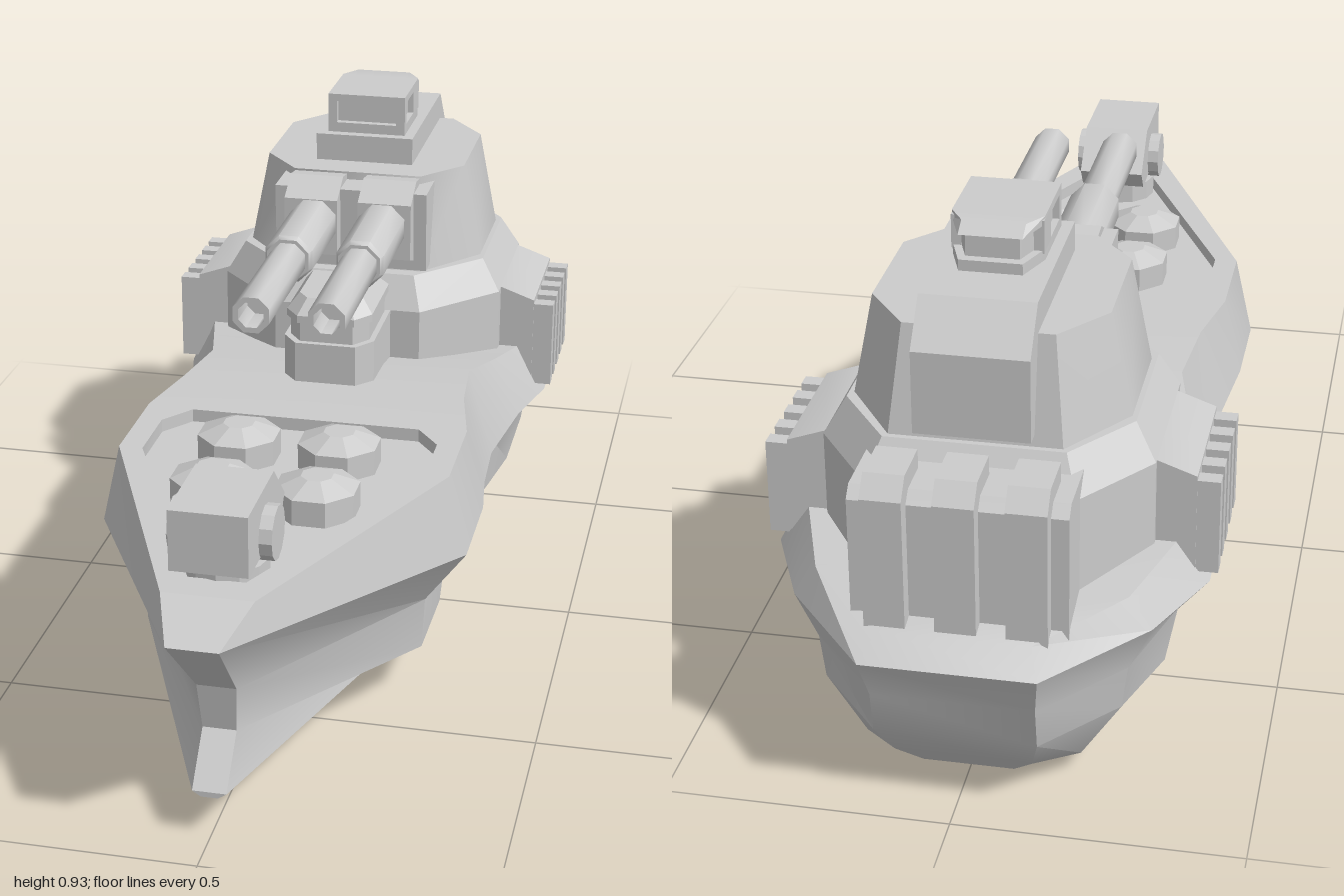
import * as THREE from 'three';
import { toCreasedNormals } from 'three/addons/utils/BufferGeometryUtils.js';

export function createModel() {
  const model = new THREE.Group();
  const mat = new THREE.MeshStandardMaterial({ color: 0xcccccc });

  function add(name, geo, x = 0, y = 0, z = 0, crease = 0.5) {
    const m = new THREE.Mesh(toCreasedNormals(geo, crease), mat);
    m.name = name;
    m.position.set(x, y, z);
    model.add(m);
    return m;
  }
  const box = (name, w, h, d, x, y, z) => add(name, new THREE.BoxGeometry(w, h, d), x, y, z);

  // Right half is the mirror of the left half
  const mirror = half => [...half, ...half.map(([x, y, z]) => [-x, y, z]).reverse()];

  // Skin between rings; the seam closes from ring closeFrom onward
  function loft(rings, { closeFrom = 0, start = true, end = true } = {}) {
    const pos = [], n = rings[0].length;
    const quad = (a, b, c, d) => pos.push(...a, ...b, ...c, ...a, ...c, ...d);
    for (let i = 0; i < rings.length - 1; i++) {
      for (let j = 0; j < n; j++) {
        if (j === n - 1 && i < closeFrom) continue;
        const k = (j + 1) % n;
        quad(rings[i][j], rings[i][k], rings[i + 1][k], rings[i + 1][j]);
      }
    }
    const last = rings[rings.length - 1], first = rings[0];
    for (let j = 0; j < n / 2 - 1; j++) {
      if (end) quad(last[j], last[j + 1], last[n - 2 - j], last[n - 1 - j]);
      if (start) quad(first[n - 1 - j], first[n - 2 - j], first[j + 1], first[j]);
    }
    const g = new THREE.BufferGeometry();
    g.setAttribute('position', new THREE.Float32BufferAttribute(pos, 3));
    g.computeVertexNormals();
    return g;
  }
  // Plan outline (half, front to back, as [x, z]) at height y, scaled about z = zc
  const plan = (half, y, s = 1, zc = 0) => mirror(half.map(([x, z]) => [x * s, y, zc + (z - zc) * s]));

  // Side profile [z, y] extruded across x
  function block(name, profile, width, x = 0) {
    const g = new THREE.ExtrudeGeometry(new THREE.Shape(profile.map(p => new THREE.Vector2(...p))),
      { depth: width, bevelEnabled: false });
    g.translate(0, 0, -width / 2).rotateY(-Math.PI / 2);
    return add(name, g, x);
  }

  // Hull sections: deck, knuckle, chine, bilge, lower bilge, keel edge
  const at = (z, pts) => pts.map(([x, y]) => [x, y, z]);
  const sections = [
    [[0.08, 0.455, 0.9], [0.045, 0.41, 1], [0.035, 0.26, 0.855], [0.03, 0.17, 0.84], [0.03, 0.09, 0.915], [0.015, 0.08, 0.915]],
    at(0.37, [[0.31, 0.455], [0.345, 0.3], [0.27, 0.2], [0.265, 0.1], [0.17, 0.05], [0.08, 0.035]]),
    at(0.17, [[0.31, 0.455], [0.345, 0.3], [0.27, 0.2], [0.265, 0.09], [0.17, 0.035], [0.08, 0.02]]),
    at(0.02, [[0.28, 0.455], [0.325, 0.28], [0.26, 0.2], [0.25, 0.1], [0.16, 0.045], [0.08, 0.04]]),
    at(-0.14, [[0.265, 0.445], [0.315, 0.27], [0.27, 0.21], [0.25, 0.1], [0.17, 0.05], [0.09, 0.04]]),
    at(-0.28, [[0.3, 0.42], [0.35, 0.3], [0.3, 0.23], [0.29, 0.13], [0.2, 0.03], [0.11, 0]]),
    at(-0.42, [[0.335, 0.4], [0.385, 0.3], [0.325, 0.23], [0.31, 0.13], [0.22, 0.03], [0.11, 0]]),
    at(-0.64, [[0.33, 0.38], [0.385, 0.3], [0.325, 0.23], [0.31, 0.13], [0.22, 0.03], [0.11, 0.005]]),
    at(-0.81, [[0.27, 0.36], [0.31, 0.3], [0.27, 0.22], [0.26, 0.14], [0.19, 0.035], [0.1, 0.01]]),
    [[0.13, 0.33, -0.94], [0.15, 0.3, -1], [0.14, 0.22, -0.965], [0.14, 0.14, -0.95], [0.12, 0.06, -0.89], [0.08, 0.015, -0.85]],
  ];
  add('hull', loft(sections.map(mirror), { closeFrom: 2 }));

  // Foredeck with sunken tray
  const trayPlan = [[0.05, 0.84], [0.265, 0.37], [0.265, 0.24], [0.22, 0.18]];
  const toShape = (C, half) => new C(mirror(half.map(([x, z]) => [x, -z, 0])).map(p => new THREE.Vector2(p[0], p[1])));
  const deck = toShape(THREE.Shape, sections.slice(0, 3).map(s => [s[0][0], s[0][2]]));
  deck.holes.push(toShape(THREE.Path, trayPlan));
  add('foredeck', new THREE.ShapeGeometry(deck).rotateX(-Math.PI / 2), 0, 0.455, 0);
  add('deckTray', loft([plan(trayPlan, 0.455), plan(trayPlan, 0.43)], { start: false }));

  // Octagonal hatches
  for (const x of [-0.095, 0.095]) for (const z of [0.31, 0.5]) {
    const hatch = [[0.078, 0], [0.078, 0.05], [0.03, 0.07], [0, 0.07]].map(p => new THREE.Vector2(...p));
    add('hatch', new THREE.LatheGeometry(hatch, 8, Math.PI / 8), x, 0.428, z, 0.2);
  }

  // Bow turret
  add('bowTurretBase', new THREE.CylinderGeometry(0.075, 0.075, 0.05, 12), 0, 0.445, 0.77);
  block('bowTurret', [[0.89, 0.49], [0.89, 0.6], [0.71, 0.6], [0.635, 0.525], [0.665, 0.485]], 0.135);
  add('bowTurretPivot', new THREE.CylinderGeometry(0.048, 0.048, 0.18, 12).rotateZ(Math.PI / 2), 0, 0.52, 0.775);

  // Forward bridge
  const bridge = [[0.06, 0], [0.09, -0.04], [0.09, -0.22]];
  add('bridgeBase', loft([plan(bridge, 0.42), plan(bridge, 0.535)]));
  add('bridgeWindows', loft([plan(bridge, 0.53, 0.88, -0.1), plan(bridge, 0.58, 0.88, -0.1)]));
  add('bridgeRoof', loft([plan(bridge, 0.575, 0.95, -0.1), plan(bridge, 0.59, 0.95, -0.1), plan(bridge, 0.62, 0.7, -0.1)]));

  // Deckhouse
  const house = [[0.15, -0.21], [0.29, -0.36], [0.29, -0.66], [0.18, -0.81]];
  add('deckhouse', loft([plan(house, 0.31), plan(house, 0.535), plan(house, 0.6, 0.87, -0.49)], {}), 0, 0, 0, 0.3);

  // Main turret
  const low = [[0.14, -0.27], [0.245, -0.4], [0.245, -0.62], [0.15, -0.76]];
  const high = [[0.13, -0.31], [0.205, -0.4], [0.205, -0.62], [0.13, -0.72]];
  add('mainTurret', loft([plan(low, 0.59), plan(high, 0.79)]), 0, 0, 0, 0.9);
  block('turretBustle', [[-0.6, 0.62], [-0.6, 0.845], [-0.72, 0.845], [-0.785, 0.77], [-0.785, 0.62]], 0.2);
  box('cupolaBase', 0.2, 0.06, 0.28, 0, 0.815, -0.52);

  // Cupola: body, inset window band, roof
  const cupola = [[0.08, -0.4], [0.08, -0.55], [0.055, -0.62]];
  add('cupolaSill', loft([plan(cupola, 0.84), plan(cupola, 0.865)]));
  add('cupolaWindows', loft([plan(cupola, 0.86, 0.85, -0.5), plan(cupola, 0.915, 0.85, -0.5)]));
  add('cupolaRoof', loft([plan(cupola, 0.91), plan(cupola.map(([x, z]) => [x, Math.max(z, -0.59)]), 0.925)]));
  for (const s of [-1, 1]) {
    box('cupolaPillar', 0.018, 0.06, 0.02, s * 0.071, 0.89, -0.41);
    box('cupolaRearPillar', 0.018, 0.06, 0.06, s * 0.071, 0.89, -0.53);
  }

  // Twin guns
  block('mantlet', [[-0.25, 0.61], [-0.24, 0.775], [-0.36, 0.775], [-0.36, 0.61]], 0.31);
  const barrel = [[0.05, -0.25], [0.05, 0.005], [0.044, 0.015], [0.037, 0.015], [0.037, 0.31],
    [0.026, 0.31], [0.026, 0.24], [0, 0.24]].map(p => new THREE.Vector2(...p));
  for (const s of [-1, 1]) {
    block('gunMount', [[-0.21, 0.645], [-0.21, 0.76], [-0.27, 0.792], [-0.35, 0.78], [-0.35, 0.63], [-0.28, 0.62]], 0.108, s * 0.075);
    add('gunBarrel', new THREE.LatheGeometry(barrel, 8, Math.PI / 8).rotateX(Math.PI / 2), s * 0.07, 0.712, 0, 0.8);
  }

  // Side vents with five fins each
  for (const s of [-1, 1]) {
    const vent = [[0.25, 0.325], [0.36, 0.325], [0.36, 0.51], [0.29, 0.535], [0.25, 0.535]];
    const g = new THREE.ExtrudeGeometry(new THREE.Shape(vent.map(([x, y]) => new THREE.Vector2(s * x, y))),
      { depth: 0.26, bevelEnabled: false });
    add('sideVent', g, 0, 0, -0.65);
    for (let i = 0; i < 5; i++) box('ventFin', 0.06, 0.178, 0.03, s * 0.37, 0.412, -0.407 - i * 0.0565);
  }

  // Stern engine stacks
  block('sternHousing', [[-0.76, 0.32], [-0.76, 0.57], [-0.88, 0.57], [-0.9, 0.55], [-0.9, 0.32]], 0.37);
  for (const x of [-0.12, 0, 0.12]) {
    block('sternStack', [[-0.81, 0.32], [-0.81, 0.605], [-0.9, 0.605], [-0.93, 0.57], [-0.93, 0.32]], 0.07, x);
  }

  return model;
}
